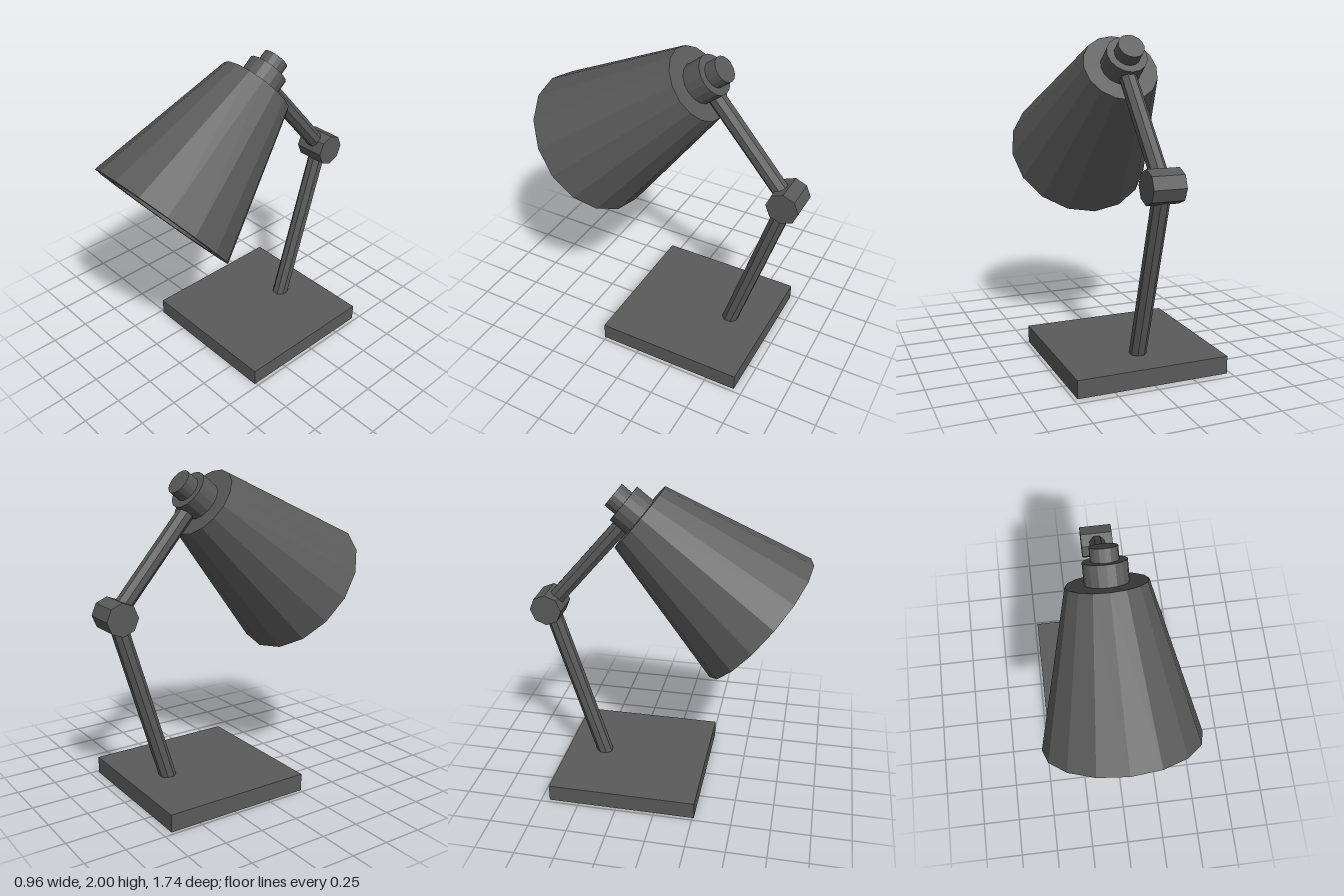
import * as THREE from 'three';

const metal = new THREE.MeshStandardMaterial({ color: 0x5a5a5a, flatShading: true });
const yellow = new THREE.MeshStandardMaterial({ color: 0xe6cc1e, flatShading: true });

function add(parent, name, geometry, material = metal) {
  const mesh = new THREE.Mesh(geometry, material);
  mesh.name = name;
  parent.add(mesh);
  return mesh;
}

// Eight-sided rod between two points in the x = 0 plane, each given as [y, z]
function addRod(parent, name, [y0, z0], [y1, z1], radius) {
  const length = Math.hypot(y1 - y0, z1 - z0);
  const geometry = new THREE.CylinderGeometry(radius, radius, length, 8).rotateY(Math.PI / 8);
  const rod = add(parent, name, geometry);
  rod.position.set(0, (y0 + y1) / 2, (z0 + z1) / 2);
  rod.rotation.x = Math.atan2(z1 - z0, y1 - y0);
}

// Short cylinder on the shade axis, from height y0 to y1
function addCollar(parent, name, radius, y0, y1) {
  const geometry = new THREE.CylinderGeometry(radius, radius, y1 - y0, 16);
  add(parent, name, geometry).position.y = (y0 + y1) / 2;
}

export function createModel() {
  const lamp = new THREE.Group();
  lamp.name = 'deskLamp';

  // Base slab
  add(lamp, 'base', new THREE.BoxGeometry(0.956, 0.11, 0.956)).position.set(0, 0.055, -0.217);

  // Two arms meeting at the elbow
  const elbow = [1.19, -0.768];
  addRod(lamp, 'lowerArm', [0.06, -0.428], elbow, 0.053);
  addRod(lamp, 'upperArm', elbow, [1.82, -0.226], 0.053);
  const joint = add(lamp, 'elbowJoint', new THREE.CylinderGeometry(0.102, 0.102, 0.2, 8).rotateZ(Math.PI / 2));
  joint.position.set(0, elbow[0], elbow[1]);

  // Tilted head: origin at the rim centre, local y towards the back of the shade
  const head = new THREE.Group();
  head.name = 'head';
  head.position.set(0, 1.215, 0.5725);
  head.rotation.x = -0.893;
  lamp.add(head);

  // Thick hollow shade: cavity, rim, outer wall, closed top
  const profile = [[0, 0.86], [0.165, 0.86], [0.357, 0], [0.475, 0], [0.235, 0.953], [0, 0.953]]
    .map(([r, y]) => new THREE.Vector2(r, y));
  add(head, 'shade', new THREE.LatheGeometry(profile, 16));
  addCollar(head, 'socketCollar', 0.127, 0.93, 1.078);
  addCollar(head, 'socketCap', 0.081, 1.06, 1.157);

  // Bulb inside the shade
  add(head, 'bulb', new THREE.SphereGeometry(0.255, 16, 8), yellow).position.y = 0.31;

  return lamp;
}
